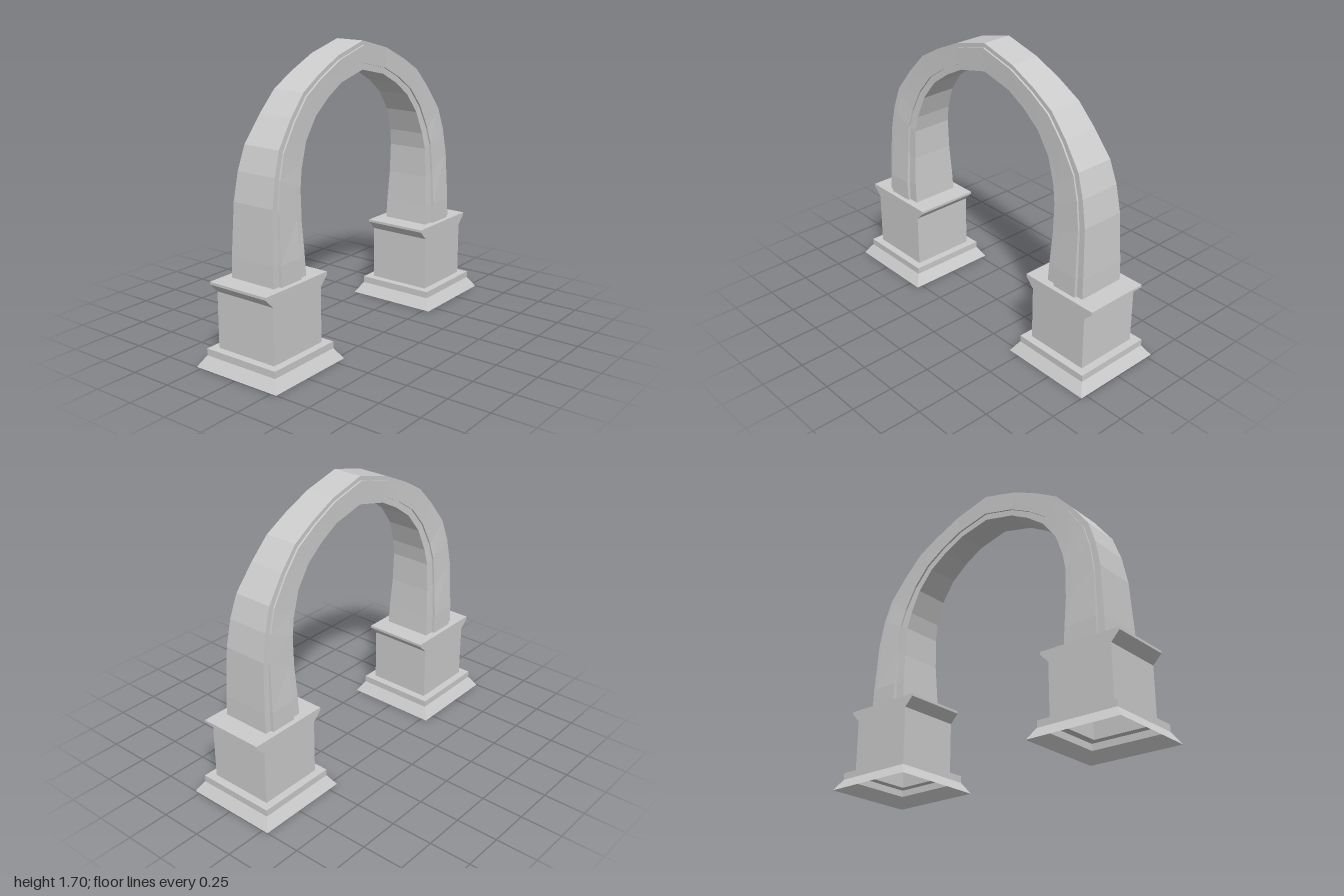
import * as THREE from 'three';

const material = new THREE.MeshStandardMaterial({ color: 0xcccccc, flatShading: true, side: THREE.DoubleSide });

// Skin a list of closed rings (each an array of [x, y, z]) with flat quads.
function loft(rings, capEnd) {
  const n = rings[0].length, index = [];
  for (let i = 0; i < rings.length - 1; i++) {
    for (let j = 0; j < n; j++) {
      const a = i * n + j, b = i * n + (j + 1) % n;
      index.push(a, b, b + n, a, b + n, a + n);
    }
  }
  if (capEnd) {
    const s = (rings.length - 1) * n;
    for (let j = 1; j < n - 1; j++) index.push(s, s + j, s + j + 1);
  }
  const indexed = new THREE.BufferGeometry();
  indexed.setAttribute('position', new THREE.Float32BufferAttribute(rings.flat(2), 3));
  indexed.setIndex(index);
  const geometry = indexed.toNonIndexed();
  geometry.computeVertexNormals();
  return geometry;
}

// Pedestal: hollow shell, open below; the cap flares sideways only.
function pedestalGeometry() {
  const profile = [ // half width x, half depth z, height
    [0.285, 0.285, 0], [0.243, 0.243, 0.065], [0.243, 0.243, 0.105],
    [0.196, 0.197, 0.105], [0.196, 0.197, 0.43], [0.25, 0.197, 0.485], [0.25, 0.197, 0.5],
  ];
  return loft(profile.map(([w, d, y]) => [[-w, y, d], [w, y, d], [w, y, -d], [-w, y, -d]]), true);
}

// Arch: stations from one foot to the crown, mirrored down to the other foot.
function archGeometry() {
  const half = [ // outer x, y, inner x, y, rim half depth, band half depth
    [0.847, 0.495, 0.585, 0.495, 0.149, 0.167],
    [0.845, 0.62, 0.592, 0.62, 0.146, 0.165],
    [0.83, 0.92, 0.6, 0.80, 0.135, 0.148],
    [0.80, 1.08, 0.598, 0.98, 0.128, 0.139],
    [0.754, 1.215, 0.577, 1.08, 0.119, 0.128],
    [0.645, 1.36, 0.524, 1.22, 0.108, 0.119],
    [0.533, 1.48, 0.433, 1.34, 0.101, 0.112],
    [0.396, 1.56, 0.318, 1.425, 0.096, 0.107],
    [0.225, 1.64, 0.197, 1.49, 0.092, 0.102],
    [0, 1.70, 0, 1.537, 0.09, 0.10],
  ];
  const mirrored = half.slice(0, -1).reverse()
    .map(([ox, oy, ix, iy, r, b]) => [-ox, oy, -ix, iy, r, b]);
  const rings = [...half, ...mirrored].map(([ox, oy, ix, iy, rim, band]) => {
    // Section from the inner to the outer face, with a raised middle band.
    const side = [[1, rim], [0.765, rim], [0.765, band], [0.155, band], [0.155, rim], [0, rim]];
    const section = [...side, ...side.map(([t, z]) => [t, -z]).reverse()];
    return section.map(([t, z]) => [ox + (ix - ox) * t, oy + (iy - oy) * t, z]);
  });
  return loft(rings, false);
}

export function createModel() {
  const model = new THREE.Group();
  model.name = 'archway';

  const pedestal = pedestalGeometry();
  for (const [name, x] of [['leftPedestal', 0.715], ['rightPedestal', -0.715]]) {
    const mesh = new THREE.Mesh(pedestal, material);
    mesh.name = name;
    mesh.position.x = x;
    model.add(mesh);
  }

  const arch = new THREE.Mesh(archGeometry(), material);
  arch.name = 'arch';
  model.add(arch);
  return model;
}
